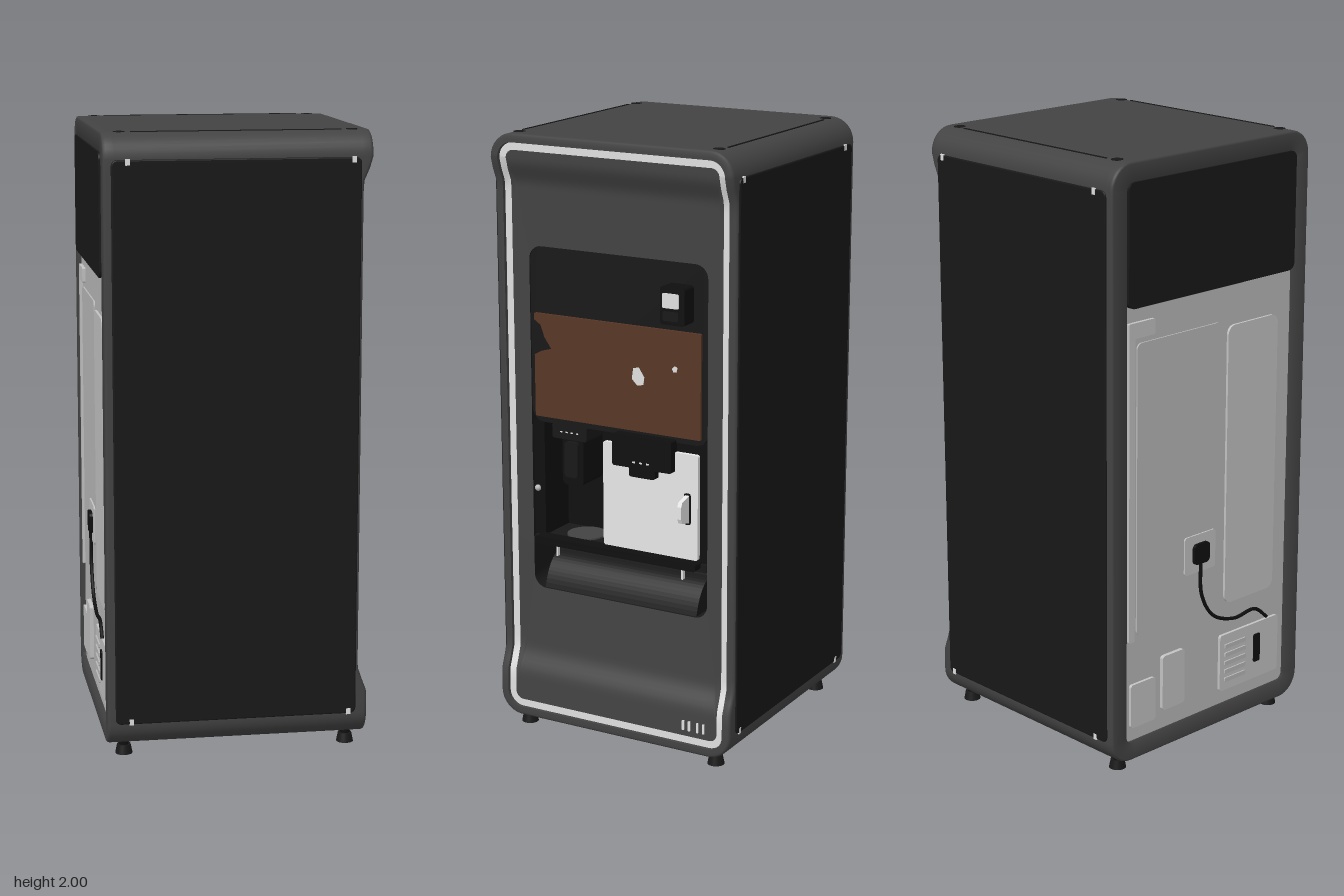
import * as THREE from 'three';

const paint = (name, color) => Object.assign(new THREE.MeshStandardMaterial({ color }), { name });
const M = {
  shell: paint('charcoal shell', 0x434343),
  black: paint('satin black', 0x181818),
  dark: paint('deep black', 0x0f0f0f),
  trim: paint('light trim', 0xe0e0e0),
  white: paint('white door', 0xf4f4f4),
  brown: paint('brown screen', 0x583626),
  grey: paint('back grey', 0xb8b8b8),
  lightGrey: paint('raised back grey', 0xc2c2c2),
};

// Front profile: flares forward at the top and the foot
const frontX = (y) => 0.39 + 0.03 * (THREE.MathUtils.smoothstep(y, 1.83, 1.92) + 1 - THREE.MathUtils.smoothstep(y, 0.18, 0.28));

// Rounded rectangle loop, counterclockwise seen from the serving side (+x)
function loop({ w, y0, y1, r, x }) {
  const pts = [], put = (a, y) => pts.push([typeof x === 'function' ? x(y) : x, y, -a]);
  const corners = [[w - r, y1 - r], [-w + r, y1 - r], [-w + r, y0 + r], [w - r, y0 + r]];
  corners.forEach(([a, y], k) => {
    for (let i = 0; i <= 8; i++) {
      const t = (k + i / 8) * Math.PI / 2;
      put(a + r * Math.cos(t), y + r * Math.sin(t));
    }
    const [b, v] = corners[(k + 1) % 4], t = (k + 1) * Math.PI / 2;
    for (let i = 1; i < 48; i++) {
      const f = i / 48;
      put(a + (b - a) * f + r * Math.cos(t), y + (v - y) * f + r * Math.sin(t));
    }
  });
  return pts;
}

const inset = (d, x) => ({ w: 0.435 - d, y0: 0.04 + d, y1: 2 - d, r: Math.max(0.08 - d, 0.025), x });

function loft(specs) {
  const loops = specs.map(loop), n = loops[0].length, index = [];
  for (let i = 0; i < loops.length - 1; i++) {
    for (let j = 0; j < n; j++) {
      const a = i * n + j, b = i * n + (j + 1) % n;
      index.push(a, b, a + n, b, b + n, a + n);
    }
  }
  const g = new THREE.BufferGeometry();
  g.setAttribute('position', new THREE.Float32BufferAttribute(loops.flat(2), 3));
  g.setIndex(index);
  g.computeVertexNormals();
  return g;
}

function roundedShape(x0, x1, y0, y1, r) {
  const s = new THREE.Shape();
  s.absarc(x1 - r, y1 - r, r, 0, Math.PI / 2);
  s.absarc(x0 + r, y1 - r, r, Math.PI / 2, Math.PI);
  s.absarc(x0 + r, y0 + r, r, Math.PI, Math.PI * 1.5);
  s.absarc(x1 - r, y0 + r, r, Math.PI * 1.5, Math.PI * 2);
  return s;
}

export function createModel() {
  const root = new THREE.Group();
  root.name = 'beverageMachine';
  const add = (name, geometry, material, x = 0, y = 0, z = 0) => {
    const m = new THREE.Mesh(geometry, material);
    m.name = name;
    m.position.set(x, y, z);
    root.add(m);
    return m;
  };
  // Block given by its limits, with corners rounded in the upright z-y plane
  const slab = (name, mat, z0, z1, y0, y1, x0, x1, r = 0.004) => {
    const g = new THREE.ExtrudeGeometry(roundedShape(-z1, -z0, y0, y1, r), { depth: x1 - x0, bevelEnabled: false, curveSegments: 5 });
    return add(name, g.rotateY(Math.PI / 2), mat, x0);
  };
  const front = (d) => (y) => frontX(y) - d;

  // Outer shell with a crisp front rim
  add('shell', loft([
    inset(0.062, -0.4), inset(0.062, -0.424), inset(0.008, -0.424), inset(0.002, -0.421), inset(0, -0.414), inset(0, -0.39),
    inset(0, front(0.03)), inset(0, front(0.01)), inset(0.002, front(0.003)), inset(0.008, front(0)),
    inset(0.02, front(0)), inset(0.028, front(0)),
  ]), M.shell);
  add('rimInnerWall', loft([inset(0.028, front(0)), inset(0.029, front(0.014))]), M.shell);
  // Light ring set into a groove behind the rim
  add('trimRing', loft([inset(0.029, front(0.011)), inset(0.053, front(0.011))]), M.trim);

  // Dished front panel running from the trim to the niche
  const niche = { w: 0.325, y0: 0.49, y1: 1.64, r: 0.045 };
  const edge = inset(0.053, 0), dish = [];
  for (let i = 0; i <= 24; i++) {
    const t = i / 24, s = { x: front(0.011 + 0.008 * t) };
    for (const k of ['w', 'y0', 'y1', 'r']) s[k] = THREE.MathUtils.lerp(edge[k], niche[k], t);
    dish.push(s);
  }
  add('frontPanel', loft(dish), M.shell);
  add('nicheWall', loft([{ ...niche, x: 0.371 }, { ...niche, x: 0.2 }]), M.black);
  slab('nicheBack', M.black, -0.33, 0.33, 0.48, 1.65, 0.18, 0.2);

  // Side panels with corner clips
  for (const s of [-1, 1]) {
    const side = s > 0 ? 'left' : 'right';
    const g = new THREE.ExtrudeGeometry(roundedShape(-0.395, 0.378, 0.125, 1.915, 0.015),
      { depth: 0.006, bevelThickness: 0.003, bevelSize: 0.004, bevelSegments: 2 });
    add(side + 'SidePanel', g, M.black, 0, 0, s * 0.434 - 0.003);
    for (const x of [-0.348, 0.358]) for (const y of [0.128, 1.912]) {
      add('panelClip', new THREE.BoxGeometry(0.014, 0.02, 0.012), M.trim, x, y, s * 0.435);
    }
    // Top seams
    add('topSeam', new THREE.BoxGeometry(0.66, 0.003, 0.006), M.black, 0, 1.9995, s * 0.368);
  }

  // Feet and top plugs
  for (const x of [-0.365, 0.365]) for (const z of [-0.357, 0.357]) {
    add('foot', new THREE.CylinderGeometry(0.022, 0.028, 0.03, 24), M.black, x, 0.015, z);
    add('footStem', new THREE.CylinderGeometry(0.016, 0.016, 0.03, 16), M.dark, x, 0.035, z);
    add('topPlug', new THREE.CylinderGeometry(0.019, 0.019, 0.002, 24), M.black, x, 1.9995, z);
  }

  // Upper control block and screen
  slab('upperFascia', M.black, -0.325, 0.325, 1.06, 1.64, 0.2, 0.366, 0.045);
  slab('screen', M.brown, -0.302, 0.308, 1.08, 1.422, 0.36, 0.375);
  const art = (name, mat, pts) => add(name, new THREE.ExtrudeGeometry(
    new THREE.Shape(pts.map(([z, y]) => new THREE.Vector2(-z, y))), { depth: 0.002, bevelEnabled: false }).rotateY(Math.PI / 2), mat, 0.3745);
  art('screenCorner', M.black, [[0.308, 1.285], [0.28, 1.3], [0.245, 1.31], [0.27, 1.345], [0.285, 1.385], [0.308, 1.4]]);
  art('screenLeaf', M.trim, [[-0.06, 1.285], [-0.055, 1.25], [-0.075, 1.23], [-0.097, 1.235], [-0.1, 1.26], [-0.08, 1.29]]);
  art('screenDot', M.trim, [[-0.2, 1.3], [-0.205, 1.29], [-0.216, 1.29], [-0.22, 1.305], [-0.21, 1.31]]);

  // Card reader
  slab('cardReader', M.dark, -0.272, -0.185, 1.452, 1.572, 0.36, 0.425, 0.01);
  slab('readerScreen', M.trim, -0.252, -0.195, 1.505, 1.552, 0.42, 0.428);
  slab('readerKeys', M.black, -0.25, -0.197, 1.465, 1.495, 0.42, 0.428);

  // Milk compartment door, hood and handle
  slab('doorHousing', M.dark, -0.322, 0.06, 0.665, 1.065, 0.2, 0.36);
  slab('whiteDoor', M.white, -0.292, 0.055, 0.682, 1.03, 0.35, 0.374, 0.008);
  slab('hood', M.dark, -0.21, 0.005, 0.965, 1.07, 0.35, 0.4, 0.006);
  slab('hoodSpout', M.dark, -0.15, -0.055, 0.935, 0.97, 0.35, 0.398, 0.008);
  for (const z of [-0.125, -0.1, -0.075]) slab('hoodMark', M.trim, z - 0.005, z + 0.005, 0.982, 0.987, 0.398, 0.402, 0.001);
  slab('handleShadowGap', M.dark, -0.267, -0.243, 0.798, 0.902, 0.37, 0.376, 0.008);
  const grip = new THREE.Shape([[0.37, 0.803], [0.42, 0.815], [0.427, 0.83], [0.427, 0.87], [0.42, 0.885], [0.37, 0.897]]
    .map(([x, y]) => new THREE.Vector2(x, y)));
  add('doorHandle', new THREE.ExtrudeGeometry(grip, { depth: 0.014, bevelEnabled: false }), M.white, 0, 0, -0.262);

  // Cup bay with dispenser and drip grate
  slab('bayPost', M.dark, 0.285, 0.325, 0.67, 1.06, 0.2, 0.36);
  slab('bayLiner', M.dark, 0.06, 0.285, 0.67, 1.06, 0.2, 0.22);
  slab('spoutHead', M.black, 0.125, 0.255, 1.01, 1.06, 0.2, 0.36, 0.008);
  slab('spoutBody', M.dark, 0.15, 0.23, 0.85, 1.015, 0.22, 0.34, 0.02);
  slab('spoutNozzle', M.black, 0.165, 0.215, 0.88, 1.0, 0.33, 0.352, 0.012);
  for (const z of [0.16, 0.18, 0.2, 0.22]) slab('spoutMark', M.trim, z - 0.004, z + 0.004, 1.032, 1.036, 0.358, 0.362, 0.001);
  add('cupLight', new THREE.SphereGeometry(0.011, 12, 8), M.grey, 0.36, 0.83, 0.313);
  slab('trayFloor', M.black, -0.322, 0.322, 0.645, 0.672, 0.2, 0.37);
  slab('trayLip', M.dark, -0.3, 0.3, 0.655, 0.68, 0.36, 0.405, 0.008);
  add('dripGrate', new THREE.CylinderGeometry(0.065, 0.065, 0.006, 32), M.shell, 0.29, 0.674, 0.17);
  for (const z of [-0.235, 0.235]) slab('trayPin', M.trim, z - 0.003, z + 0.003, 0.61, 0.65, 0.36, 0.373, 0.001);

  // Curved scoop below the tray
  const scoop = new THREE.Shape();
  scoop.moveTo(0.2, 0.492);
  scoop.lineTo(0.368, 0.492);
  scoop.quadraticCurveTo(0.345, 0.585, 0.28, 0.6);
  scoop.quadraticCurveTo(0.25, 0.61, 0.24, 0.65);
  scoop.lineTo(0.2, 0.65);
  add('scoop', new THREE.ExtrudeGeometry(scoop, { depth: 0.57, bevelEnabled: false, curveSegments: 12 }), M.black, 0, 0, -0.285);

  // Vent slits low on the front
  for (const z of [-0.26, -0.282, -0.312, -0.334]) slab('ventSlit', M.trim, z - 0.004, z + 0.004, 0.112, 0.146, 0.404, 0.412, 0.002);

  // Back: upper cover, recessed service panel and raised pressings
  slab('backCore', M.grey, -0.375, 0.375, 0.1, 1.94, -0.41, -0.39, 0.02);
  slab('upperBackCover', M.black, -0.37, 0.37, 1.548, 1.938, -0.43, -0.4, 0.025);
  slab('tallPressing', M.lightGrey, 0.08, 0.31, 0.46, 1.41, -0.418, -0.4, 0.03);
  slab('widePressing', M.grey, -0.32, 0.05, 0.46, 1.43, -0.415, -0.4, 0.02);
  slab('edgeRail', M.lightGrey, -0.36, -0.335, 0.45, 1.48, -0.421, -0.4);
  slab('topRail', M.lightGrey, -0.36, -0.25, 1.45, 1.5, -0.421, -0.4);
  slab('lowerBox', M.lightGrey, -0.21, -0.11, 0.17, 0.36, -0.423, -0.4, 0.01);
  slab('lowerCover', M.lightGrey, -0.35, -0.24, 0.15, 0.3, -0.42, -0.4, 0.01);
  slab('ventBox', M.lightGrey, 0.06, 0.34, 0.15, 0.35, -0.42, -0.4, 0.01);
  for (let i = 0; i < 5; i++) slab('backVent', M.grey, 0.08, 0.18, 0.18 + i * 0.03, 0.195 + i * 0.03, -0.425, -0.41, 0.003);
  slab('inletSocket', M.dark, 0.22, 0.25, 0.21, 0.31, -0.424, -0.41, 0.006);

  // Power plug and cable
  slab('plugPlate', M.lightGrey, -0.11, 0.03, 0.61, 0.74, -0.42, -0.4, 0.01);
  slab('plug', M.dark, -0.075, -0.005, 0.64, 0.71, -0.43, -0.41, 0.015);
  const cable = new THREE.CatmullRomCurve3([[0.65, -0.04], [0.53, -0.035], [0.44, 0.02], [0.4, 0.12], [0.405, 0.22], [0.36, 0.28]]
    .map(([y, z]) => new THREE.Vector3(-0.423, y, z)));
  add('powerCable', new THREE.TubeGeometry(cable, 40, 0.006, 8), M.dark);

  return root;
}
